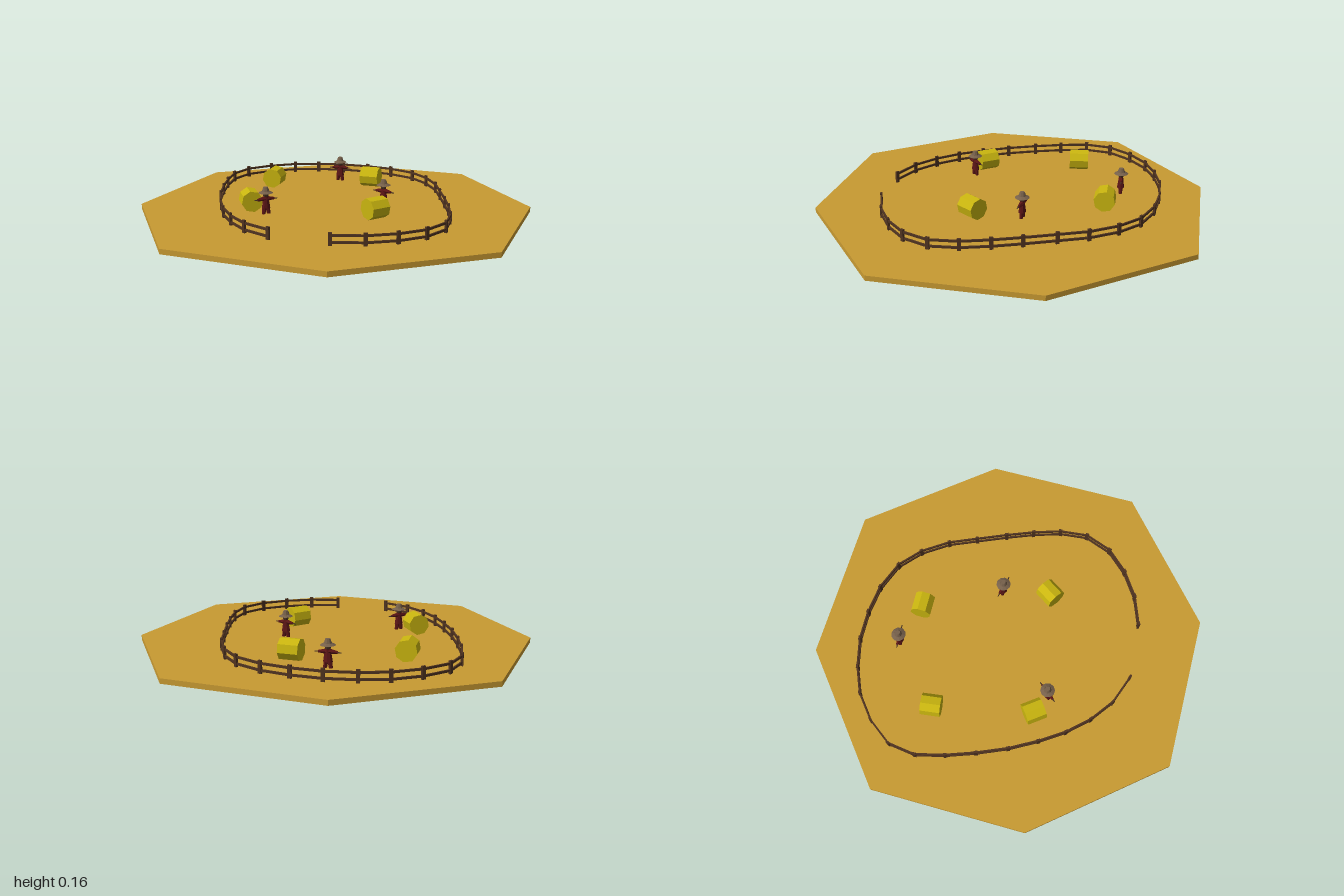
import * as THREE from 'three';

const mat = (color) => new THREE.MeshStandardMaterial({ color, flatShading: true });
const MATS = {
  ground: mat(0xc89a32), wood: mat(0x4f3320), hay: mat(0xc9b50f),
  cloth: mat(0x5c1616), hat: mat(0x76604a), sack: mat(0x4a3424),
};
const TOP = 0.025; // ground surface height

function add(parent, name, geometry, material, x = 0, y = 0, z = 0) {
  const m = new THREE.Mesh(geometry, material);
  m.name = name;
  m.position.set(x, y, z);
  parent.add(m);
  return m;
}

// turns local +x towards (dx, dz)
const heading = (dx, dz) => Math.atan2(-dz, dx);

function createGround() {
  const d = 0.735;
  const corners = [[1, 0], [d, d], [0, 1], [-d, d], [-1, 0], [-d, -d], [0, -1], [d, -d]];
  const shape = new THREE.Shape(corners.map(([x, y]) => new THREE.Vector2(x, y)));
  const geo = new THREE.ExtrudeGeometry(shape, { depth: TOP, bevelEnabled: false });
  geo.rotateX(-Math.PI / 2);
  const m = new THREE.Mesh(geo, MATS.ground);
  m.name = 'ground';
  return m;
}

// post positions (x, z), running from one side of the gate to the other
const FENCE = [
  [-0.28, 0.59], [-0.40, 0.49], [-0.48, 0.37], [-0.535, 0.24], [-0.57, 0.10], [-0.595, -0.05],
  [-0.605, -0.21], [-0.605, -0.36], [-0.59, -0.51], [-0.525, -0.635], [-0.40, -0.72],
  [-0.26, -0.77], [-0.12, -0.78], [0.03, -0.765], [0.175, -0.72], [0.31, -0.655],
  [0.43, -0.555], [0.50, -0.43], [0.54, -0.28], [0.55, -0.13], [0.56, 0.03], [0.565, 0.175],
  [0.56, 0.32], [0.525, 0.46], [0.43, 0.57], [0.30, 0.635], [0.155, 0.67], [0, 0.67],
];

function createFence() {
  const fence = new THREE.Group();
  fence.name = 'fence';
  const postGeo = new THREE.BoxGeometry(0.018, 0.062, 0.011);
  FENCE.forEach(([x, z], i) => {
    const a = FENCE[Math.max(i - 1, 0)];
    const b = FENCE[Math.min(i + 1, FENCE.length - 1)];
    const post = add(fence, 'fencePost', postGeo, MATS.wood, x, TOP + 0.03, z);
    post.rotation.y = heading(b[0] - a[0], b[1] - a[1]);
    if (i === FENCE.length - 1) return;
    // two rails to the next post
    const [nx, nz] = FENCE[i + 1];
    const length = Math.hypot(nx - x, nz - z);
    for (const y of [0.04, 0.072]) {
      const rail = add(fence, 'fenceRail', new THREE.BoxGeometry(length, 0.011, 0.008),
        MATS.wood, (x + nx) / 2, y, (z + nz) / 2);
      rail.rotation.y = heading(nx - x, nz - z);
    }
  });
  return fence;
}

function createHayBale(x, z, dx, dz) {
  const geo = new THREE.CylinderGeometry(0.054, 0.054, 0.1, 8);
  geo.rotateZ(-Math.PI / 2);
  geo.rotateX(-0.19);
  const bale = new THREE.Mesh(geo, MATS.hay);
  bale.name = 'hayBale';
  bale.position.set(x, TOP + 0.052, z);
  bale.rotation.y = heading(dx, dz);
  return bale;
}

function createScarecrow(x, z, dx, dz) {
  const g = new THREE.Group();
  g.name = 'scarecrow';
  // trouser legs and coat
  for (const s of [-1, 1]) {
    const leg = add(g, 'leg', new THREE.CylinderGeometry(0.012, 0.009, 0.04, 6), MATS.cloth, s * 0.011, 0.019, 0);
    leg.rotation.z = s * 0.15;
  }
  add(g, 'coat', new THREE.CylinderGeometry(0.013, 0.023, 0.06, 8), MATS.cloth, 0, 0.06, 0).scale.z = 0.8;
  // outstretched sleeves with a stick poking out of each
  for (const s of [-1, 1]) {
    const sleeve = add(g, 'sleeve', new THREE.CylinderGeometry(0.006, 0.013, 0.04, 6), MATS.cloth, s * 0.025, 0.076, 0);
    sleeve.rotation.z = -s * 1.65;
    const hand = add(g, 'stickHand', new THREE.CylinderGeometry(0.002, 0.004, 0.02, 5), MATS.sack, s * 0.052, 0.074, 0);
    hand.rotation.z = -s * 1.65;
  }
  // head and brimmed hat
  add(g, 'head', new THREE.SphereGeometry(0.015, 8, 6), MATS.sack, 0, 0.098, 0);
  add(g, 'hatBrim', new THREE.CylinderGeometry(0.02, 0.037, 0.009, 10), MATS.hat, 0, 0.111, 0);
  add(g, 'hatCrown', new THREE.CylinderGeometry(0.012, 0.02, 0.022, 8), MATS.hat, 0, 0.125, 0);
  g.position.set(x, TOP, z);
  g.rotation.y = heading(dx, dz);
  return g;
}

export function createModel() {
  const model = new THREE.Group();
  model.name = 'hayField';
  model.add(
    createGround(),
    createFence(),
    createHayBale(-0.35, -0.415, 0.22, -0.98),
    createHayBale(0.19, -0.435, 0.95, 0.3),
    createHayBale(-0.42, 0.09, -0.3, -0.95),
    createHayBale(0.205, 0.23, 0.81, -0.59),
    createScarecrow(0.015, -0.56, 23, 6),
    createScarecrow(0.25, -0.01, 19, 12),
    createScarecrow(-0.335, 0.165, 22, -13),
  );
  return model;
}
